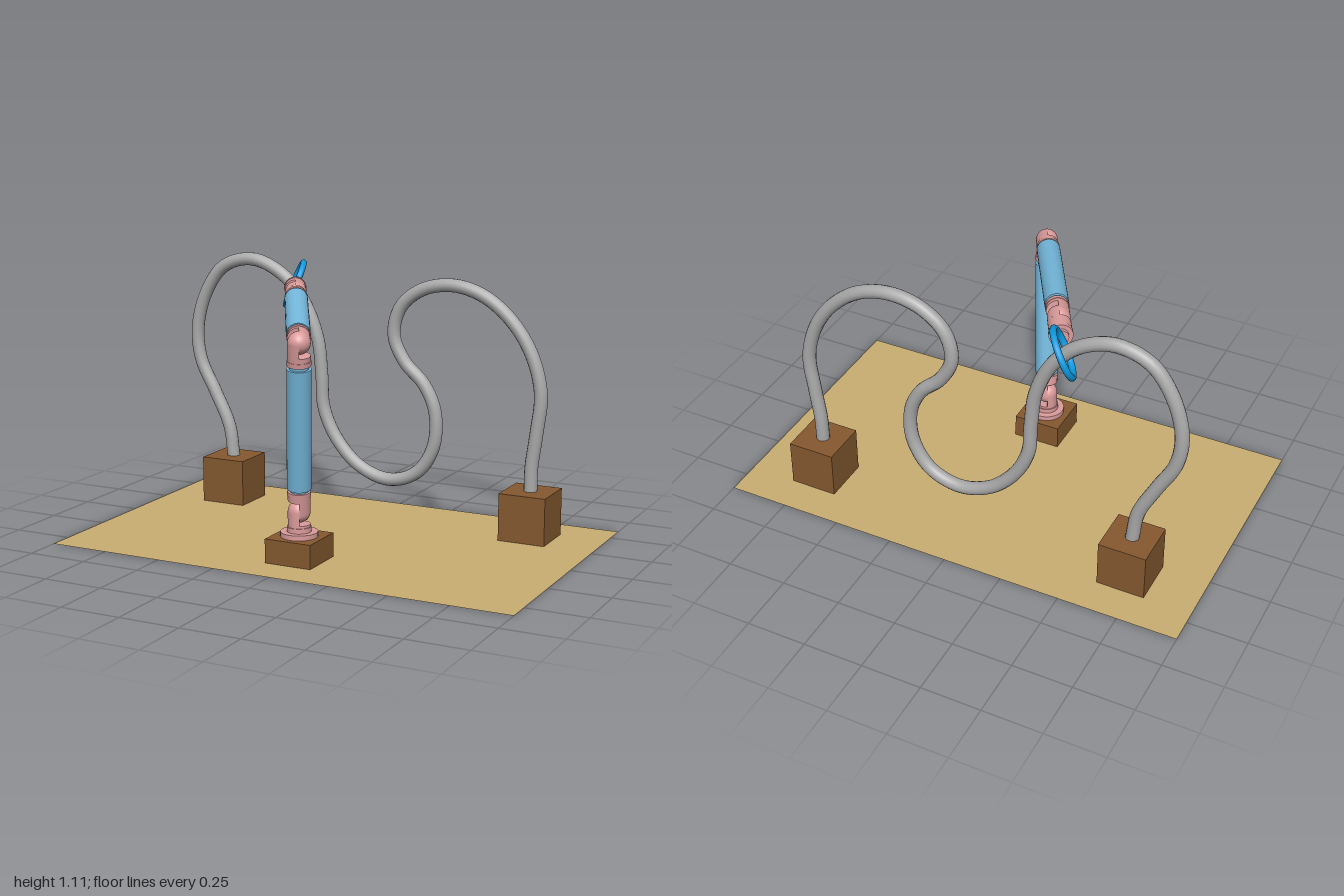
import * as THREE from 'three';

const mat = (name, color, side = THREE.FrontSide) => {
  const m = new THREE.MeshStandardMaterial({ color, side });
  m.name = name;
  return m;
};

export function createModel() {
  const model = new THREE.Group();
  model.name = 'wireLoopRobot';
  const tan = mat('tan board', 0xc9ad72, THREE.DoubleSide);
  const brown = mat('brown wood', 0x85592f);
  const grey = mat('grey wire', 0xaaaaaa);
  const pink = mat('pink joint', 0xdc9c9c);
  const lightBlue = mat('light blue link', 0x76bade);
  const blue = mat('blue ring', 0x0d9ae0);

  const add = (parent, name, geometry, material, x = 0, y = 0, z = 0) => {
    const mesh = new THREE.Mesh(geometry, material);
    mesh.name = name;
    mesh.position.set(x, y, z);
    parent.add(mesh);
    return mesh;
  };

  // Board and wooden blocks
  add(model, 'board', new THREE.PlaneGeometry(2, 1.2).rotateX(-Math.PI / 2), tan);
  for (const s of [-1, 1]) {
    add(model, s < 0 ? 'rightPost' : 'leftPost', new THREE.BoxGeometry(0.2, 0.198, 0.2), brown, 0.7 * s, 0.101, -0.35);
  }
  add(model, 'armBlock', new THREE.BoxGeometry(0.2, 0.098, 0.2), brown, 0, 0.051, 0.35);

  // Winding wire between the posts
  const path = [
    [-0.7, 0.19], [-0.72, 0.33], [-0.79, 0.48], [-0.86, 0.62], [-0.875, 0.76], [-0.83, 0.92],
    [-0.74, 1.04], [-0.6, 1.08], [-0.46, 1.03], [-0.35, 0.92], [-0.28, 0.76], [-0.26, 0.6],
    [-0.25, 0.46], [-0.19, 0.33], [-0.08, 0.22], [0.06, 0.175], [0.19, 0.22], [0.265, 0.34],
    [0.27, 0.49], [0.22, 0.6], [0.13, 0.69], [0.08, 0.8], [0.11, 0.92], [0.21, 1.0],
    [0.345, 1.025], [0.48, 0.99], [0.6, 0.9], [0.69, 0.77], [0.735, 0.61], [0.72, 0.44],
    [0.702, 0.3], [0.7, 0.19],
  ].map(([x, y]) => new THREE.Vector3(x, y, -0.35));
  add(model, 'wire', new THREE.TubeGeometry(new THREE.CatmullRomCurve3(path), 200, 0.028, 14), grey);

  // Arm: hinges turn about local x, forward is local -z
  const arm = new THREE.Group();
  arm.name = 'arm';
  arm.position.z = 0.35;
  arm.rotation.y = 0.507;
  model.add(arm);

  const R = 0.045;
  const cyl = (parent, name, r, y0, y1, material) =>
    add(parent, name, new THREE.CylinderGeometry(r, r, y1 - y0, 32), material, 0, (y0 + y1) / 2, 0);

  // Frame at (forward, up) whose y axis points towards another point
  const frame = (name, [f0, y0], [f1, y1]) => {
    const g = new THREE.Group();
    g.name = name;
    g.position.set(0, y0, -f0);
    g.rotation.x = Math.atan2(f0 - f1, y1 - y0);
    arm.add(g);
    return g;
  };

  // Half of a hinge: half capsule round the pivot, full barrel and collar further out
  const hinge = (g, side, end = 0.09) => {
    const profile = [];
    for (let i = 0; i <= 10; i++) {
      const a = (i / 10) * Math.PI / 2;
      profile.push(new THREE.Vector2(Math.sin(a) * R, -Math.cos(a) * R));
    }
    profile.push(new THREE.Vector2(R, 0.05));
    const half = new THREE.Group();
    half.name = 'hingeHalf';
    half.rotation.y = side > 0 ? 0 : Math.PI;
    g.add(half);
    add(half, 'hingeShell', new THREE.LatheGeometry(profile, 20, 0, Math.PI), pink);
    const outline = [...profile, ...profile.slice(1).reverse().map((p) => new THREE.Vector2(-p.x, p.y))];
    add(half, 'hingeFace', new THREE.ShapeGeometry(new THREE.Shape(outline)).rotateY(-Math.PI / 2), pink);
    cyl(g, 'hingeBarrel', R, 0.05, end - 0.02, pink);
    cyl(g, 'hingeCollar', R + 0.002, end - 0.02, end, pink);
  };

  const foot = [0, 0.1], shoulder = [0, 0.2], elbow = [-0.128, 0.892], wrist = [0.57, 0.982], tip = [0.7, 0.984];

  // Turntable and shoulder
  cyl(arm, 'turntable', 0.075, 0.1, 0.12, pink);
  cyl(arm, 'turntableStep', 0.049, 0.12, 0.14, pink);
  hinge(frame('shoulderBase', shoulder, foot), -1);

  // Two matching links, each with a hinge half at both ends
  const link = (name, a, b) => {
    const g = frame(name, a, b);
    const length = Math.hypot(b[0] - a[0], b[1] - a[1]);
    hinge(g, 1);
    cyl(g, 'linkCore', 0.038, 0.085, length - 0.085, lightBlue);
    cyl(g, 'linkTube', 0.048, 0.1, length - 0.103, lightBlue);
    hinge(frame(name + 'End', b, a), -1);
  };
  link('upperArm', shoulder, elbow);
  link('forearm', elbow, wrist);

  // Wrist and ring round the wire
  const hand = frame('hand', wrist, tip);
  hinge(hand, 1, 0.125);
  cyl(hand, 'ringMount', 0.03, 0.125, 0.14, pink);
  const ring = add(arm, 'ring', new THREE.TorusGeometry(0.098, 0.0135, 12, 32), blue, 0, 0.984, -0.808);
  ring.rotation.set(0, Math.PI / 2, -0.4, 'ZYX');

  return model;
}
